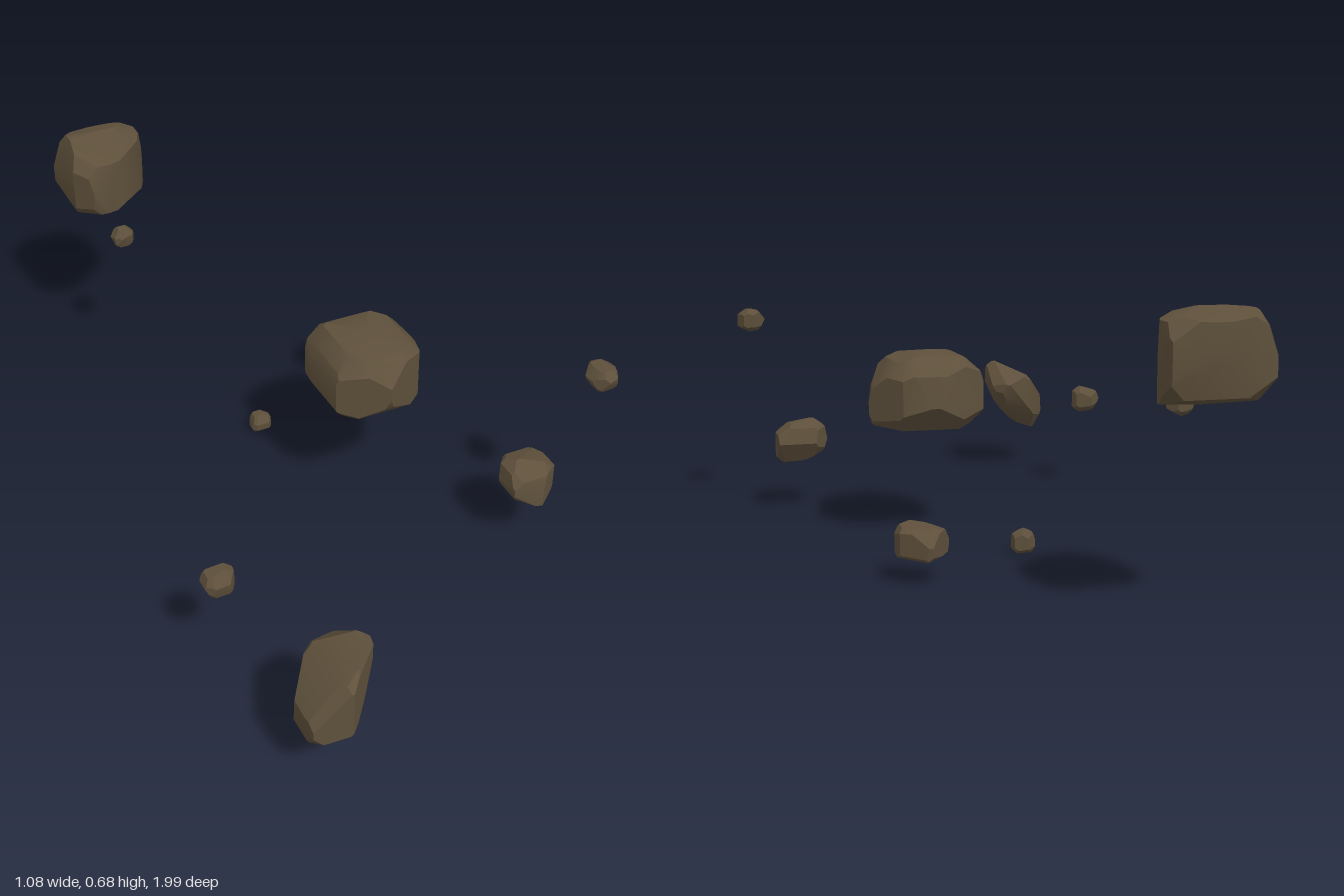
import * as THREE from 'three';
import { ConvexGeometry } from 'three/addons/geometries/ConvexGeometry.js';
import { toCreasedNormals } from 'three/addons/utils/BufferGeometryUtils.js';

const stone = new THREE.MeshStandardMaterial({ color: 0x5e503b, roughness: 0.95 });

// Turns an outline in the plane of axes a and b into cutting planes { n, h }.
function outlinePlanes(points, a, b) {
  const planes = [], count = points.length;
  const ca = points.reduce((s, p) => s + p[0], 0) / count;
  const cb = points.reduce((s, p) => s + p[1], 0) / count;
  points.forEach((p, i) => {
    const q = points[(i + 1) % count];
    let u = q[1] - p[1], v = p[0] - q[0];
    if (u * (p[0] - ca) + v * (p[1] - cb) < 0) { u = -u; v = -v; }
    const n = new THREE.Vector3();
    n[a] = u; n[b] = v;
    n.normalize();
    planes.push({ n, h: Math.max(...points.map((r) => n[a] * r[0] + n[b] * r[1])) });
  });
  return planes;
}

// Corner points of the solid enclosed by a set of planes.
function solidCorners(planes) {
  const out = [], m = new THREE.Matrix3();
  for (let i = 0; i < planes.length; i++)
    for (let j = i + 1; j < planes.length; j++)
      for (let k = j + 1; k < planes.length; k++) {
        const [A, B, C] = [planes[i], planes[j], planes[k]];
        m.set(A.n.x, A.n.y, A.n.z, B.n.x, B.n.y, B.n.z, C.n.x, C.n.y, C.n.z);
        if (Math.abs(m.determinant()) < 1e-4) continue;
        const p = new THREE.Vector3(A.h, B.h, C.h).applyMatrix3(m.invert());
        if (planes.every((f) => f.n.dot(p) < f.h + 1e-6) &&
            out.every((q) => q.distanceToSquared(p) > 4e-6)) out.push(p);
      }
  return out;
}

// Cuts a rock from its front (x,y), side (z,y) and top (x,z) outlines, then chips its corners.
function makeRock(name, { front, side, top }) {
  const planes = [
    ...outlinePlanes(front, 'x', 'y'),
    ...outlinePlanes(side, 'z', 'y'),
    ...outlinePlanes(top, 'x', 'z'),
  ];
  const rough = solidCorners(planes);
  const box = new THREE.Box3().setFromPoints(rough);
  const c = box.getCenter(new THREE.Vector3()), s = box.getSize(new THREE.Vector3());
  for (let i = 0; i < 8; i++) {
    const n = new THREE.Vector3((i & 1 ? 1 : -1) / s.x, (i & 2 ? 1 : -1) / s.y, (i & 4 ? 1 : -1) / s.z).normalize();
    const reach = Math.max(...rough.map((p) => n.dot(p))) - n.dot(c);
    planes.push({ n, h: n.dot(c) + reach * (0.87 + 0.03 * (i % 3)) });
  }
  const mesh = new THREE.Mesh(toCreasedNormals(new ConvexGeometry(solidCorners(planes)), 0.55), stone);
  mesh.name = name;
  return mesh;
}

// Uneven many-sided outline filling the given rectangle.
function pebbleOutline(u0, u1, v0, v1, turn) {
  const pts = [];
  for (let i = 0; i < 7; i++) {
    const t = turn + (i / 7) * Math.PI * 2 + 0.15 * Math.sin(i * 2.3 + turn);
    pts.push([Math.cos(t), Math.sin(t)]);
  }
  const fit = (k, lo, hi) => {
    const vals = pts.map((p) => p[k]), min = Math.min(...vals), max = Math.max(...vals);
    pts.forEach((p) => { p[k] = lo + ((p[k] - min) / (max - min)) * (hi - lo); });
  };
  fit(0, u0, u1);
  fit(1, v0, v1);
  return pts;
}

const rocks = {
  backBoulder: {
    front: [[-.395, .568], [-.354, .669], [-.239, .68], [-.15, .646], [-.132, .568], [-.141, .476], [-.24, .467], [-.37, .476], [-.395, .525]],
    side: [[-.762, .547], [-.783, .632], [-.912, .675], [-.997, .648], [-.997, .573], [-.976, .488], [-.9, .467], [-.778, .483]],
    top: [[-.394, -.955], [-.262, -1], [-.146, -.987], [-.135, -.934], [-.167, -.87], [-.246, -.791], [-.336, -.765], [-.378, -.817]],
  },
  centreBoulder: {
    front: [[-.043, .355], [-.014, .436], [.023, .47], [.106, .485], [.199, .459], [.256, .396], [.273, .338], [.253, .295], [.178, .283], [.058, .272], [.003, .292]],
    side: [[.238, .403], [.168, .467], [.056, .483], [-.029, .472], [-.088, .429], [-.099, .349], [-.035, .285], [.05, .269], [.168, .296], [.222, .349]],
    top: [[-.04, .04], [-.024, -.034], [.114, -.103], [.198, -.077], [.267, .019], [.214, .146], [.093, .23], [-.024, .151]],
  },
  frontSlab: {
    front: [[-.458, .111], [-.483, .171], [-.478, .22], [-.412, .295], [-.319, .338], [-.288, .318], [-.288, .281], [-.331, .206], [-.397, .134]],
    side: [[1, .237], [.992, .291], [.939, .333], [.864, .333], [.789, .269], [.821, .189], [.906, .109], [.997, .168]],
    top: [[-.484, .902], [-.421, .823], [-.341, .786], [-.299, .823], [-.294, .897], [-.384, .992], [-.474, .981]],
  },
  leftRock: {
    front: [[.305, .194], [.314, .232], [.345, .255], [.409, .24], [.452, .209], [.452, .151], [.426, .128], [.365, .14], [.319, .163]],
    side: [[.511, .163], [.489, .221], [.436, .253], [.382, .232], [.372, .189], [.409, .136], [.463, .12], [.505, .136]],
    top: [[.299, .426], [.347, .368], [.447, .368], [.447, .452], [.389, .5], [.31, .489]],
  },
  lowRock: {
    front: [[.17, .094], [.184, .122], [.242, .14], [.285, .134], [.305, .105], [.296, .062], [.236, .056], [.176, .068]],
    side: [[-.366, .093], [-.377, .136], [-.463, .131], [-.5, .093], [-.495, .056], [-.42, .051], [-.377, .072]],
    top: [[.172, -.431], [.23, -.505], [.294, -.452], [.299, -.415], [.267, -.378], [.188, -.41]],
  },
};

// Pebbles: x range, y range, z range
const pebbles = {
  backPebble: [-.315, -.25, .412, .472, -.733, -.68],
  upperPebble: [.462, .538, .492, .556, .482, .572],
  rightPebble: [-.54, -.46, .22, .298, .492, .56],
  bottomPebble: [-.098, -.037, 0, .064, -.272, -.222],
};

export function createModel() {
  const group = new THREE.Group();
  group.name = 'floatingRocks';
  for (const [name, outlines] of Object.entries(rocks)) group.add(makeRock(name, outlines));
  Object.entries(pebbles).forEach(([name, [x0, x1, y0, y1, z0, z1]], i) => {
    group.add(makeRock(name, {
      front: pebbleOutline(x0, x1, y0, y1, 0.3 + i),
      side: pebbleOutline(z0, z1, y0, y1, 0.9 + i),
      top: pebbleOutline(x0, x1, z0, z1, 1.7 + i),
    }));
  });
  return group;
}
